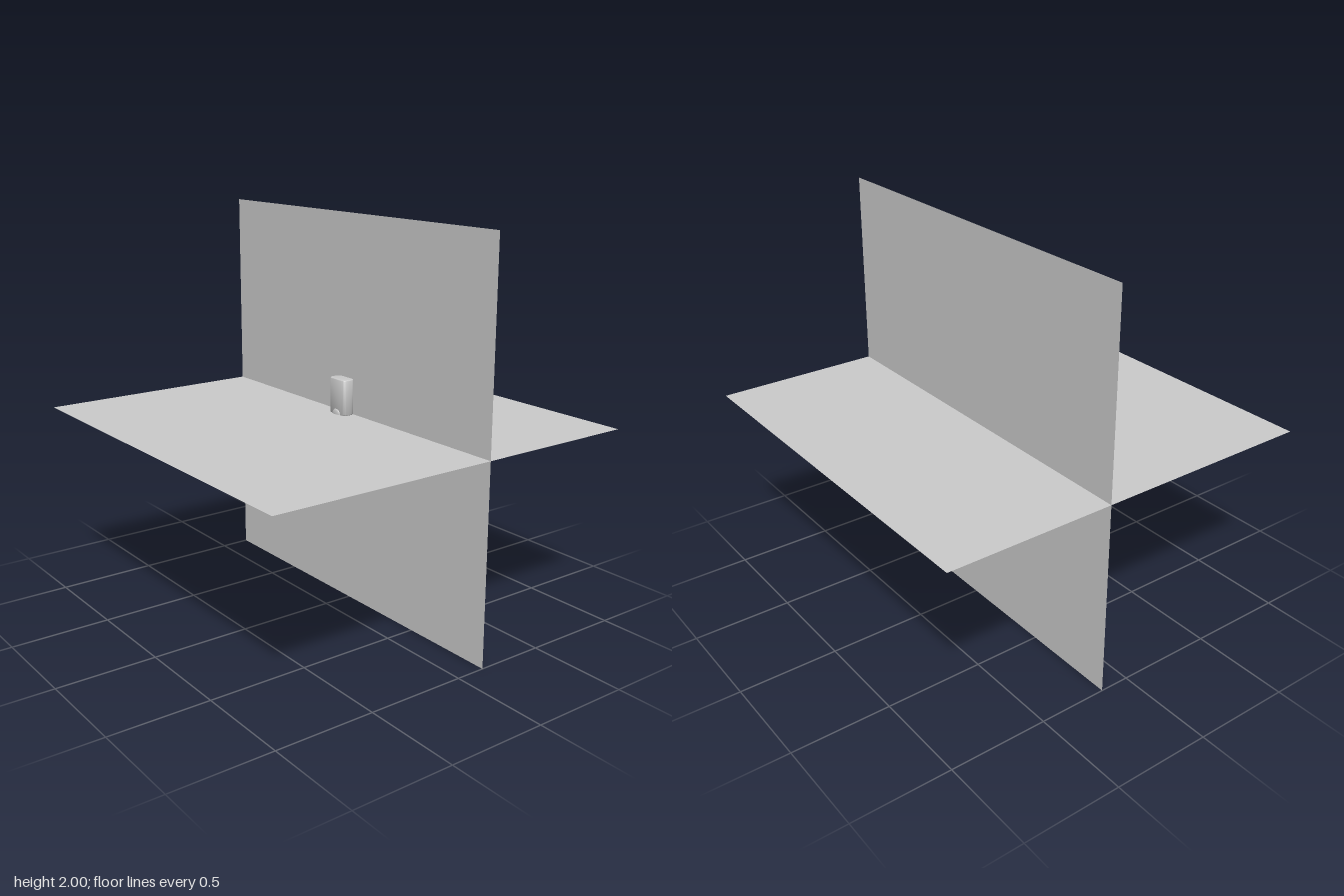
import * as THREE from 'three';
import { toCreasedNormals } from 'three/addons/utils/BufferGeometryUtils.js';

const grey = new THREE.MeshStandardMaterial({ color: 0xcccccc });
const greyThin = new THREE.MeshStandardMaterial({ color: 0xcccccc, side: THREE.DoubleSide });

function part(name, geometry, material = grey) {
  const mesh = new THREE.Mesh(geometry, material);
  mesh.name = name;
  return mesh;
}

// Rounded rectangle centred on the origin
function roundedRect(w, d, r) {
  const x = w / 2 - r, y = d / 2 - r;
  const shape = new THREE.Shape();
  shape.absarc(x, y, r, 0, Math.PI / 2);
  shape.absarc(-x, y, r, Math.PI / 2, Math.PI);
  shape.absarc(-x, -y, r, Math.PI, Math.PI * 1.5);
  shape.absarc(x, -y, r, Math.PI * 1.5, Math.PI * 2);
  shape.closePath();
  return shape;
}

export function createModel() {
  const model = new THREE.Group();
  model.name = 'wallDevice';

  // Two crossing sheets
  const wall = part('wall', new THREE.PlaneGeometry(2, 2), greyThin);
  wall.position.set(0, 1, -0.15);
  const floor = part('floor', new THREE.PlaneGeometry(2, 2).rotateX(-Math.PI / 2), greyThin);
  floor.position.y = 1;
  model.add(wall, floor);

  // Small upright case with rounded corners and softened rims
  const device = new THREE.Group();
  device.name = 'device';
  device.position.set(0, 1.01, -0.097);
  const bevel = 0.004, height = 0.18;
  const body = new THREE.ExtrudeGeometry(roundedRect(0.126 - 2 * bevel, 0.068 - 2 * bevel, 0.018), {
    depth: height - 2 * bevel, bevelEnabled: true, bevelThickness: bevel,
    bevelSize: bevel, bevelSegments: 4, curveSegments: 8,
  });
  body.translate(0, 0, bevel).rotateX(-Math.PI / 2);
  device.add(part('case', toCreasedNormals(body, 0.6)));

  // Shallow half-dome at the foot of the front face
  const dome = new THREE.SphereGeometry(1, 32, 12, 0, Math.PI * 2, 0, Math.PI / 2);
  dome.scale(0.03, 0.026, 0.008);
  const bump = part('frontDome', dome, greyThin);
  bump.position.set(0, 0.001, 0.034);
  device.add(bump);

  model.add(device);
  return model;
}
